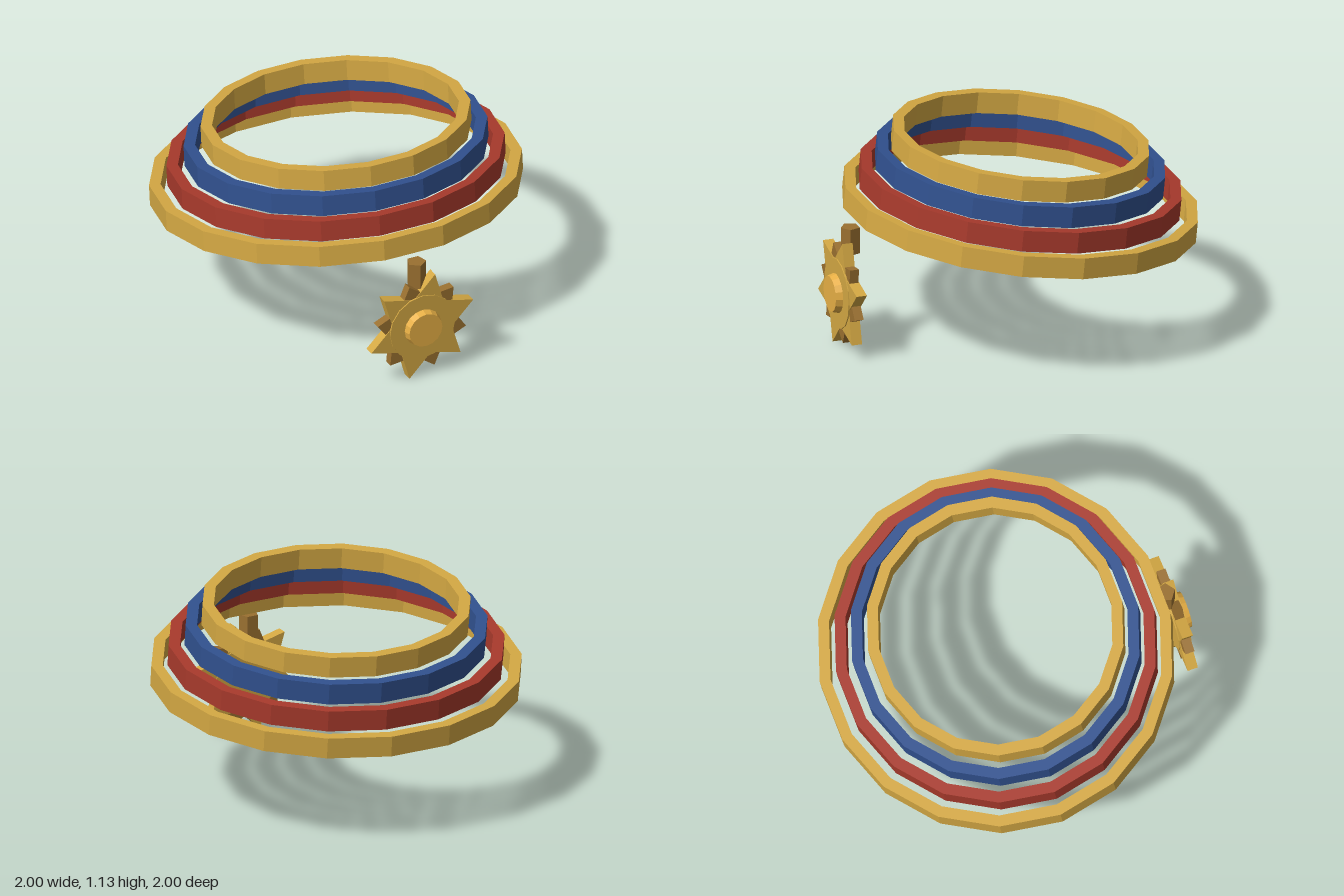
import * as THREE from 'three';

const paint = (color) => new THREE.MeshStandardMaterial({ color, flatShading: true });

export function createModel() {
  const group = new THREE.Group();
  const gold = paint(0xd4a843), red = paint(0xa83a2c), blue = paint(0x31518f);
  const bronze = paint(0x9a7030), bright = paint(0xe8b045);

  const add = (name, geometry, material, x, y, z) => {
    const mesh = new THREE.Mesh(geometry, material);
    mesh.name = name;
    mesh.position.set(x, y, z);
    group.add(mesh);
    return mesh;
  };

  // Four stacked oval bands, tilted up at the front
  const bands = [
    ['lowerGoldBand', 1.0, gold],
    ['redBand', 0.907, red],
    ['blueBand', 0.815, blue],
    ['upperGoldBand', 0.724, gold],
  ];
  const h = 0.058, wall = 0.062;
  bands.forEach(([name, r, material], i) => {
    const profile = [[r - wall, -h], [r, -h], [r, h], [r - wall, h], [r - wall, -h]]
      .map(([x, y]) => new THREE.Vector2(x, y));
    const geometry = new THREE.LatheGeometry(profile, 18, Math.PI / 18, Math.PI * 2);
    const band = add(name, geometry, material, 0, 0.671 + i * 0.111, -0.069);
    band.scale.z = 0.942;
    band.rotation.x = -0.103;
  });

  // Six-pointed star plate, first tip at the given angle
  const star = (outer, inner, start, depth) => {
    const points = [];
    for (let i = 0; i < 12; i++) {
      const a = start + (i * Math.PI) / 6, r = i % 2 ? inner : outer;
      points.push(new THREE.Vector2(r * Math.cos(a), r * Math.sin(a)));
    }
    return new THREE.ExtrudeGeometry(new THREE.Shape(points), { depth, bevelEnabled: false })
      .translate(0, 0, -depth / 2);
  };
  const disc = (front, back, depth) =>
    new THREE.CylinderGeometry(front, back, depth, 16).rotateX(Math.PI / 2);

  // Sun pendant hanging at the front
  const cy = 0.305, cz = 0.926, turn = THREE.MathUtils.degToRad(16);
  add('longRays', star(0.312, 0.179, turn, 0.058), gold, 0, cy, cz);
  add('shortRays', star(0.268, 0.18, turn + Math.PI / 6, 0.05), bronze, 0, cy, cz);
  add('pendantDisc', disc(0.192, 0.192, 0.07), gold, 0, cy, cz);
  add('pendantBoss', disc(0.097, 0.108, 0.04), bright, 0, cy, 0.978);

  // Five-sided hanger peg
  add('hangerPeg', new THREE.CylinderGeometry(0.053, 0.053, 0.145, 5), bronze, 0, 0.598, 0.883);

  return group;
}
